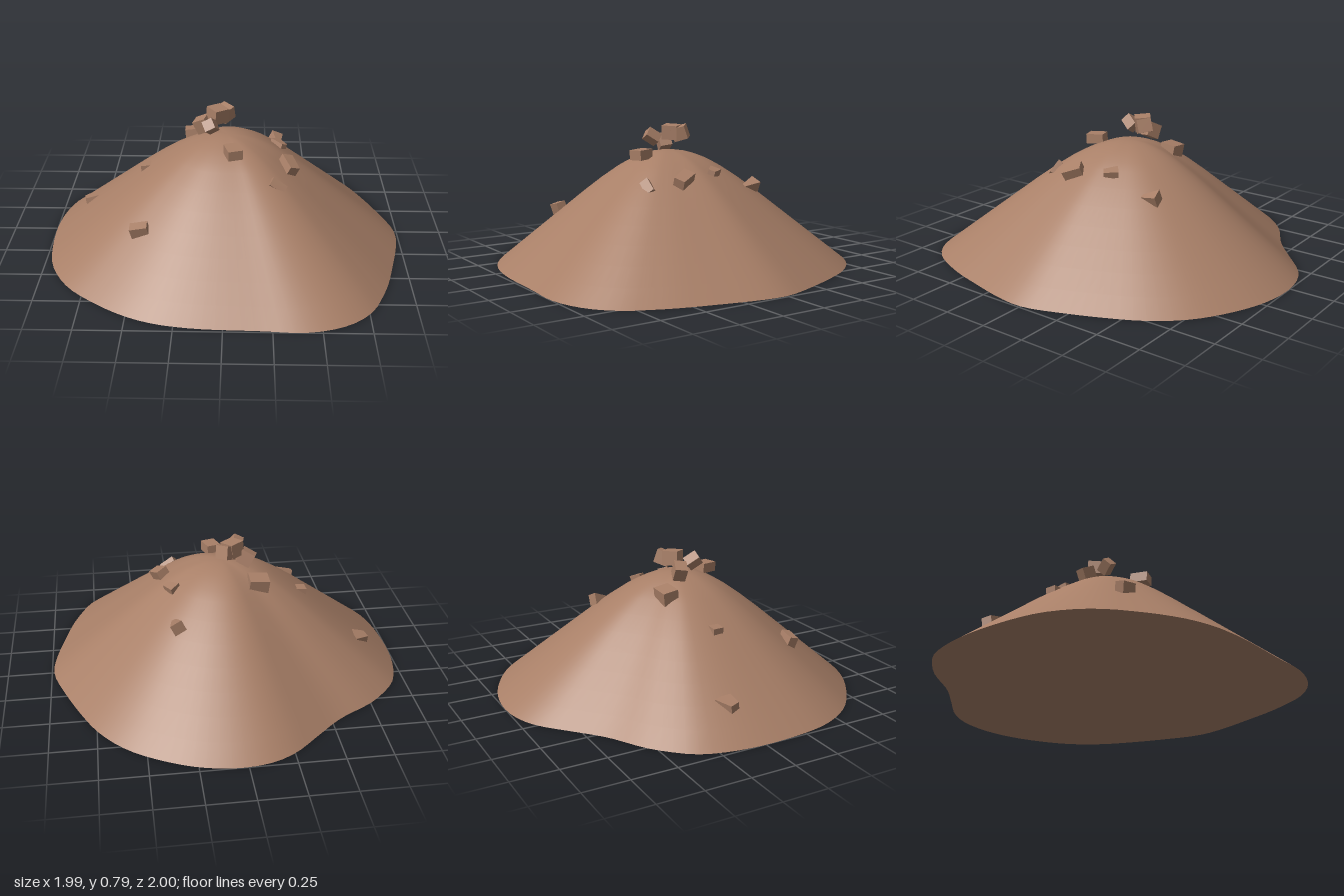
import * as THREE from 'three';

// Footprint of the mound as [x, z] pairs
const OUTLINE = [
  [0.02, -1], [0.15, -0.99], [0.3, -0.95], [0.5, -0.85], [0.63, -0.75], [0.75, -0.6],
  [0.85, -0.4], [0.93, -0.2], [0.98, -0.05], [0.99, 0.05], [0.97, 0.2], [0.93, 0.37],
  [0.88, 0.56], [0.83, 0.69], [0.77, 0.81], [0.67, 0.91], [0.55, 0.97], [0.4, 1],
  [0.2, 0.99], [-0.1, 0.98], [-0.23, 0.965], [-0.35, 0.94], [-0.48, 0.89], [-0.6, 0.82],
  [-0.72, 0.73], [-0.8, 0.66], [-0.88, 0.56], [-0.95, 0.42], [-0.98, 0.3], [-1, 0.1],
  [-1, -0.05], [-0.98, -0.2], [-0.93, -0.35], [-0.85, -0.45], [-0.75, -0.54],
  [-0.55, -0.66], [-0.4, -0.79], [-0.25, -0.92], [-0.12, -0.98],
];

// Slope from summit to foot as [share of the footprint, height]
const PROFILE = [
  [0, 0.645], [0.05, 0.643], [0.1, 0.635], [0.15, 0.62], [0.2, 0.6], [0.25, 0.574],
  [0.3, 0.545], [0.4, 0.476], [0.5, 0.4], [0.6, 0.32], [0.7, 0.24], [0.8, 0.16],
  [0.9, 0.08], [1, 0],
];

// Clods: [x, y, z], [width, height, depth], [rx, ry, rz], taper of the +z end
const CLODS = [
  [[-0.79, 0.15, -0.09], [0.1, 0.08, 0.09], [0.1, -1.3, 0.25], 0.55],
  [[-0.45, 0.425, 0.03], [0.065, 0.05, 0.06], [0, 0.05, 0.1], 1],
  [[-0.18, 0.57, -0.12], [0.11, 0.08, 0.09], [-0.15, 0.03, 0.1], 1],
  [[-0.13, 0.68, -0.01], [0.08, 0.08, 0.07], [0.15, -0.3, 0.5], 1],
  [[-0.085, 0.715, 0.1], [0.06, 0.06, 0.08], [-0.6, -0.3, 0.4], 1],
  [[-0.05, 0.74, -0.01], [0.09, 0.08, 0.09], [0.1, 0.65, -0.1], 1],
  [[-0.01, 0.735, -0.045], [0.08, 0.075, 0.08], [0.2, 0.8, 0.15], 1],
  [[0.04, 0.632, 0.25], [0.08, 0.055, 0.1], [0.05, 0.3, 0], 1],
  [[0.295, 0.445, -0.3], [0.07, 0.065, 0.11], [0.1, 0.15, -0.45], 0.25],
  [[0.3, 0.54, -0.05], [0.065, 0.045, 0.08], [0, 0.7, -0.3], 0.6],
  [[0.345, 0.515, 0.175], [0.07, 0.07, 0.11], [0.35, 0.4, -0.5], 0.9],
  [[0.28, 0.485, 0.36], [0.09, 0.03, 0.05], [0.75, -0.5, -0.4], 1],
  [[-0.45, 0.29, 0.51], [0.095, 0.07, 0.055], [0.25, 0, 0.2], 1],
];

function meshFrom(positions, indices, material, name) {
  const g = new THREE.BufferGeometry();
  g.setAttribute('position', new THREE.Float32BufferAttribute(positions, 3));
  g.setIndex(indices);
  g.computeVertexNormals();
  const mesh = new THREE.Mesh(g, material);
  mesh.name = name;
  return mesh;
}

// Shrinks the +z end of a box
function clodGeometry([w, h, d], taper) {
  const g = new THREE.BoxGeometry(w, h, d);
  const p = g.attributes.position;
  for (let i = 0; i < p.count; i++) {
    if (p.getZ(i) > 0) p.setXY(i, p.getX(i) * taper, p.getY(i) * taper);
  }
  g.computeVertexNormals();
  return g;
}

export function createModel() {
  const group = new THREE.Group();
  group.name = 'earthMound';
  const earth = new THREE.MeshStandardMaterial({ color: 0xa87f67 });
  earth.name = 'brown earth';

  const N = 96;
  const curve = new THREE.CatmullRomCurve3(OUTLINE.map(([x, z]) => new THREE.Vector3(x, 0, z)), true);
  const rim = curve.getSpacedPoints(N).slice(0, N);

  // Mound: rings of the footprint shrinking towards an offset summit
  const pos = [0.005, PROFILE[0][1], 0.05];
  const idx = [];
  PROFILE.slice(1).forEach(([t, y], ring) => {
    rim.forEach((p, j) => {
      pos.push(p.x * t + 0.005 * (1 - t), y, p.z * t + 0.05 * (1 - t));
      const k = (j + 1) % N;
      const b = 1 + ring * N + j, c = 1 + ring * N + k;
      if (ring === 0) idx.push(0, c, b);
      else idx.push(b - N, c - N, c, b - N, c, b);
    });
  });
  group.add(meshFrom(pos, idx, earth, 'mound'));

  // Flat underside
  const basePos = [0, 0, 0];
  const baseIdx = [];
  rim.forEach((p, j) => {
    basePos.push(p.x, 0, p.z);
    baseIdx.push(0, 1 + j, 1 + ((j + 1) % N));
  });
  group.add(meshFrom(basePos, baseIdx, earth, 'underside'));

  // Loose clods on the summit and slopes
  const clods = new THREE.Group();
  clods.name = 'clods';
  CLODS.forEach(([at, size, turn, taper], i) => {
    const clod = new THREE.Mesh(clodGeometry(size, taper), earth);
    clod.name = `clod${i + 1}`;
    clod.position.set(...at);
    clod.rotation.set(...turn);
    clods.add(clod);
  });
  group.add(clods);
  return group;
}
